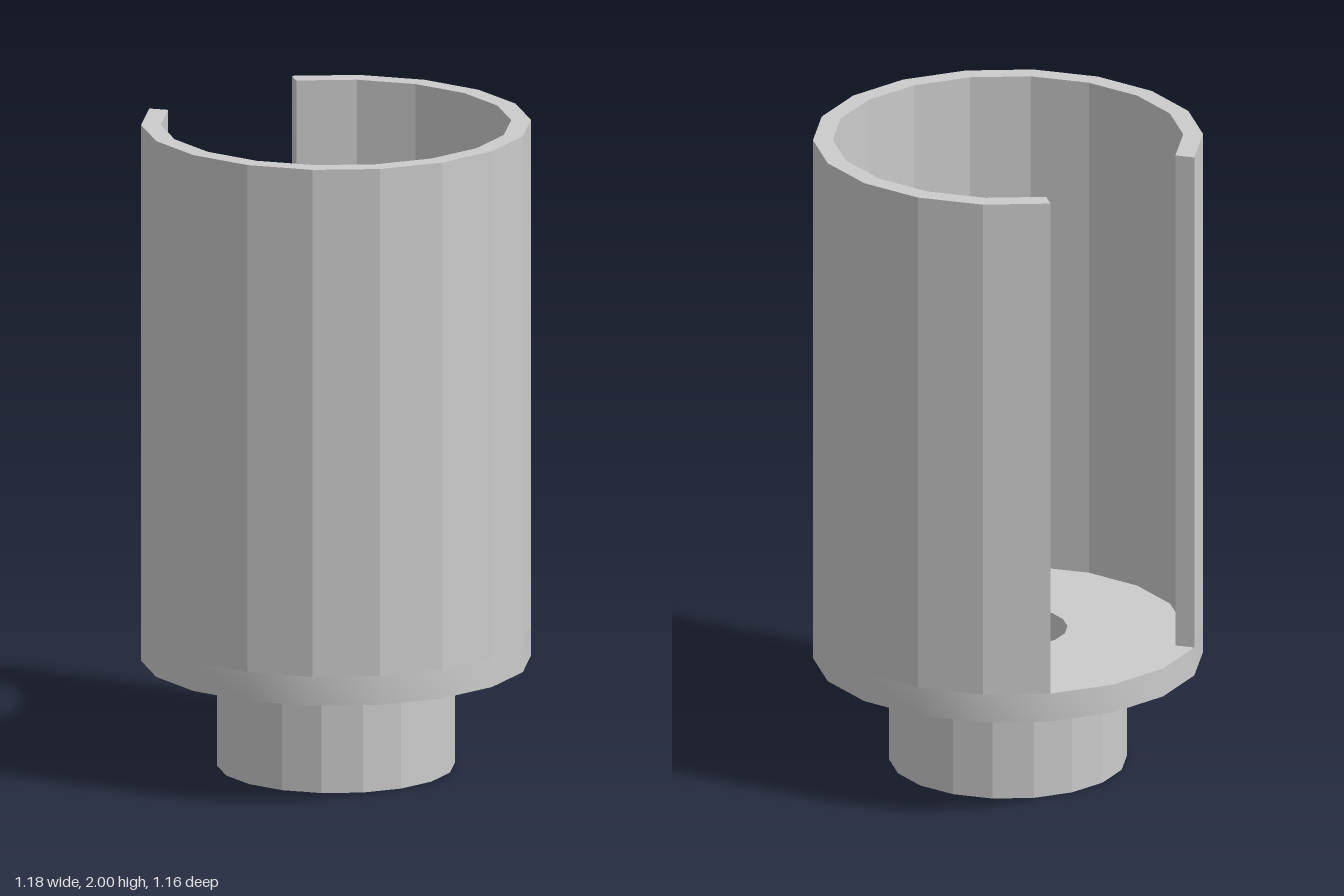
import * as THREE from 'three';
import { toCreasedNormals } from 'three/addons/utils/BufferGeometryUtils.js';

const SIDES = 18, STEP = (Math.PI * 2) / SIDES;
const OUTER = 0.59, INNER = 0.53, STEM = 0.36, BORE = 0.18;
const PLATE_BOTTOM = 0.33, PLATE_TOP = 0.42, TOP = 2;

// Revolve a profile of [radius, height] pairs; edges sharper than the crease stay hard
function revolve(profile, crease) {
  const points = profile.map(([r, y]) => new THREE.Vector2(r, y));
  const geometry = new THREE.LatheGeometry(points, SIDES, Math.PI / 2);
  return toCreasedNormals(geometry, crease);
}

export function createModel() {
  const group = new THREE.Group();
  const material = new THREE.MeshStandardMaterial({ color: 0xcccccc });
  const add = (name, geometry) => {
    const mesh = new THREE.Mesh(geometry, material);
    mesh.name = name;
    group.add(mesh);
    return mesh;
  };

  // Hollow stem, with its bore running up through the floor
  add('stem', revolve([[BORE, PLATE_TOP], [BORE, 0], [STEM, 0], [STEM, PLATE_BOTTOM]], 0.1));

  // Floor plate with a smooth rim
  add('floorPlate', revolve(
    [[STEM, PLATE_BOTTOM], [OUTER, PLATE_BOTTOM], [OUTER, PLATE_TOP], [BORE, PLATE_TOP]], 0.6));

  // Faceted cup wall, open over three facets at the back
  const corners = [];
  const arc = (r, i) => corners.push(new THREE.Vector2(r * Math.cos(i * STEP), r * Math.sin(i * STEP)));
  for (let i = 6; i <= 21; i++) arc(OUTER, i);
  for (let i = 21; i >= 6; i--) arc(INNER, i);
  const wall = new THREE.ExtrudeGeometry(new THREE.Shape(corners), {
    depth: TOP - PLATE_TOP, bevelEnabled: false,
  });
  wall.rotateX(-Math.PI / 2);
  add('cupWall', wall).position.y = PLATE_TOP;

  return group;
}
